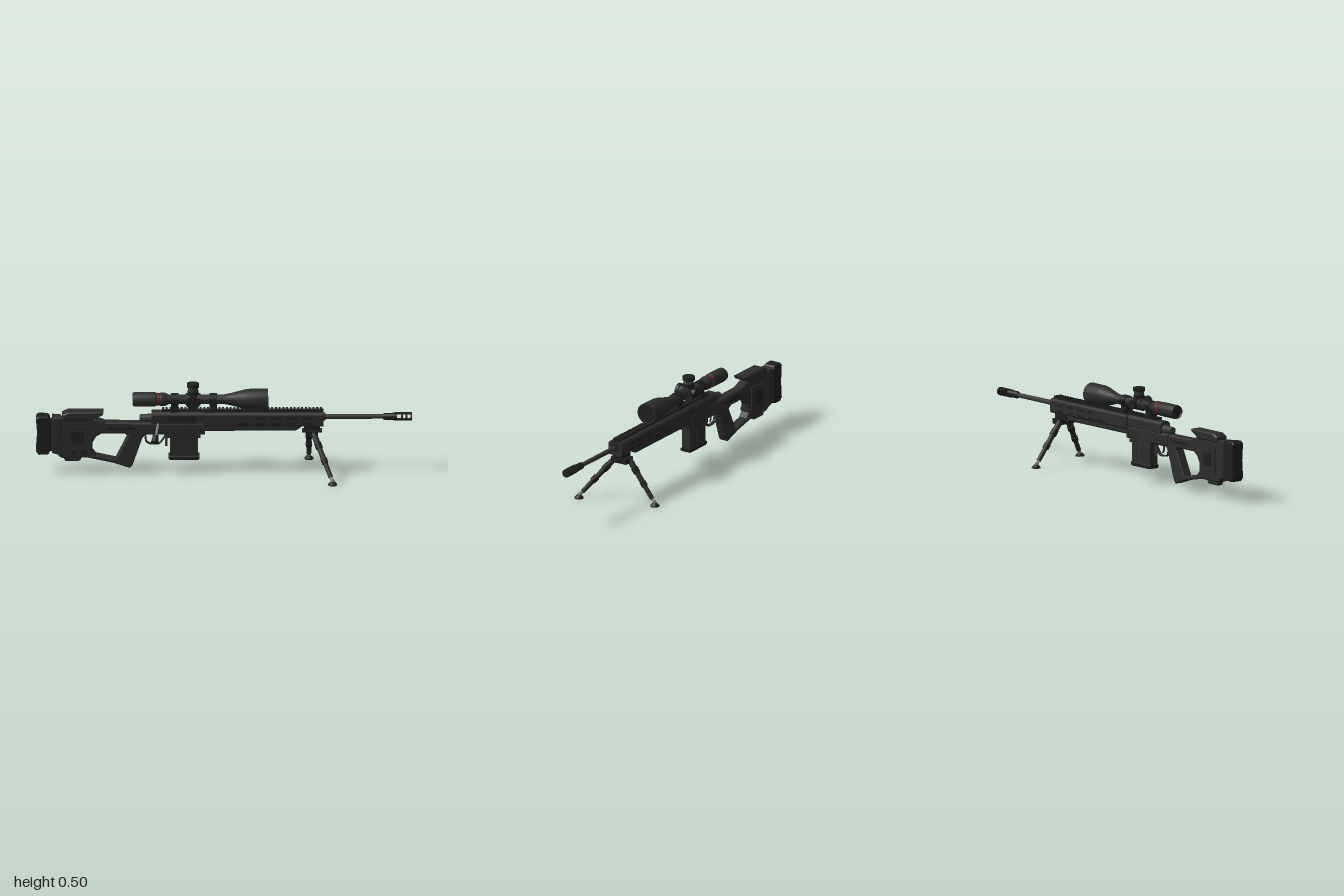
import * as THREE from 'three';
import { toCreasedNormals } from 'three/addons/utils/BufferGeometryUtils.js';

const mat = (name, color) => {
  const m = new THREE.MeshStandardMaterial({ color });
  m.name = name;
  return m;
};

export function createModel() {
  const root = new THREE.Group();
  root.name = 'scopedRifle';
  const body = mat('charcoal', 0x2d2d2d);
  const dark = mat('black', 0x1f1f1f);
  const steel = mat('gunmetal', 0x383838);
  const silver = mat('silver', 0x85857f);
  const red = mat('red', 0xb01515);

  const add = (name, geo, m, parent = root) => {
    const mesh = new THREE.Mesh(geo, m);
    mesh.name = name;
    parent.add(mesh);
    return mesh;
  };
  // Box given by its limits
  const box = (name, m, x0, x1, y0, y1, z0, z1, parent) => {
    const g = new THREE.BoxGeometry(x1 - x0, y1 - y0, z1 - z0);
    g.translate((x0 + x1) / 2, (y0 + y1) / 2, (z0 + z1) / 2);
    return add(name, g, m, parent);
  };
  // Rod between two points
  const rod = (name, m, a, b, r0, r1 = r0, seg = 20, parent = root) => {
    const A = new THREE.Vector3(...a), B = new THREE.Vector3(...b);
    const d = B.clone().sub(A);
    const mesh = add(name, new THREE.CylinderGeometry(r1, r0, d.length(), seg), m, parent);
    mesh.position.copy(A).add(B).multiplyScalar(0.5);
    mesh.quaternion.setFromUnitVectors(new THREE.Vector3(0, 1, 0), d.normalize());
    return mesh;
  };
  const rodX = (name, m, x0, x1, y, r0, r1 = r0, parent = root) => rod(name, m, [x0, y, 0], [x1, y, 0], r0, r1, 32, parent);
  // Lathe about the x axis; points are [x, radius]
  const latheX = (name, m, y, pts, parent) => {
    const g = new THREE.LatheGeometry(pts.map(([x, r]) => new THREE.Vector2(r, x)), 40);
    g.rotateZ(-Math.PI / 2);
    g.translate(0, y, 0);
    return add(name, toCreasedNormals(g, 0.5), m, parent);
  };
  const vecs = (pts) => pts.map(([x, y]) => new THREE.Vector2(x, y));
  // Side profile extruded across z, with chamfered edges
  const profile = (name, m, pts, half, holes = [], bevel = 0.006) => {
    const s = new THREE.Shape(vecs(pts));
    holes.forEach((h) => s.holes.push(new THREE.Path(vecs(h))));
    const g = new THREE.ExtrudeGeometry(s, {
      depth: 2 * (half - bevel), bevelEnabled: bevel > 0, bevelSize: bevel, bevelThickness: bevel,
      bevelOffset: -bevel, bevelSegments: 1,
    });
    g.translate(0, 0, -half + bevel);
    return add(name, g, m);
  };
  // Chamfered cross-section extruded along x
  const beam = (name, m, x0, x1, y0, y1, half, c) => {
    const s = new THREE.Shape(vecs([
      [-half + c, y0], [half - c, y0], [half, y0 + c], [half, y1 - c],
      [half - c, y1], [-half + c, y1], [-half, y1 - c], [-half, y0 + c],
    ]));
    const g = new THREE.ExtrudeGeometry(s, { depth: x1 - x0, bevelEnabled: false });
    g.rotateY(Math.PI / 2);
    g.translate(x0, 0, 0);
    return add(name, g, m);
  };

  // Thumbhole stock with grip
  profile('stock', body, [
    [-0.88, 0.1], [-0.86, 0.09], [-0.72, 0.09], [-0.59, 0.062], [-0.5, 0.032], [-0.487, 0.045], [-0.435, 0.2],
    [-0.42, 0.22], [-0.3, 0.22], [-0.3, 0.285], [-0.63, 0.29], [-0.68, 0.31], [-0.88, 0.31],
  ], 0.028, [[
    [-0.65, 0.228], [-0.53, 0.228], [-0.51, 0.215], [-0.575, 0.082], [-0.68, 0.105],
    [-0.7, 0.13], [-0.7, 0.175], [-0.68, 0.21],
  ]]);
  profile('cheekRest', body, [[-0.86, 0.305], [-0.7, 0.305], [-0.645, 0.335], [-0.64, 0.35], [-0.83, 0.35], [-0.86, 0.335]], 0.036);
  profile('stockToePad', body, [[-0.855, 0.095], [-0.845, 0.07], [-0.765, 0.07], [-0.755, 0.095]], 0.02);
  for (const s of [-1, 1]) {
    box('stockSidePanel', body, -0.84, -0.715, 0.13, 0.27, s * 0.029 - 0.005, s * 0.029 + 0.005);
    box('panelInset', dark, -0.81, -0.745, 0.17, 0.24, s * 0.035 - 0.002, s * 0.035 + 0.002);
    box('upperStockGroove', dark, -0.62, -0.47, 0.25, 0.265, s * 0.028 - 0.001, s * 0.028 + 0.001);
  }
  for (const x of [-0.8, -0.745]) rod('stockKnob', dark, [x, 0.128, 0.02], [x, 0.128, 0.052], 0.014);

  // Butt pad and spacers
  profile('buttPad', dark, [
    [-1, 0.13], [-0.985, 0.11], [-0.935, 0.112], [-0.925, 0.13], [-0.925, 0.31], [-0.935, 0.325], [-0.985, 0.328], [-1, 0.315], [-0.993, 0.22],
  ], 0.036);
  box('buttNeck', dark, -0.93, -0.87, 0.13, 0.3, -0.024, 0.024);
  profile('buttSpacer', body, [[-0.915, 0.12], [-0.865, 0.105], [-0.865, 0.318], [-0.915, 0.322]], 0.034);

  // Receiver
  beam('receiverLower', body, -0.44, -0.1, 0.222, 0.29, 0.033, 0.008);
  beam('receiverUpper', body, -0.385, -0.1, 0.275, 0.348, 0.034, 0.014);
  rodX('boltShroud', steel, -0.45, -0.38, 0.308, 0.018, 0.024);
  box('ejectionPort', dark, -0.3, -0.15, 0.298, 0.328, 0.033, 0.0355);
  for (const x of [-0.35, -0.18, -0.12]) rod('receiverPin', dark, [x, 0.25, -0.035], [x, 0.25, 0.035], 0.007);

  // Bolt handle
  rod('boltHandle', silver, [-0.35, 0.285, 0.025], [-0.362, 0.225, 0.066], 0.0075, 0.006);
  rod('boltKnob', dark, [-0.361, 0.232, 0.06], [-0.369, 0.2, 0.086], 0.014, 0.02);

  // Trigger and guard
  const guard = new THREE.CatmullRomCurve3([
    [-0.42, 0.225], [-0.412, 0.175], [-0.395, 0.165], [-0.345, 0.165], [-0.33, 0.18], [-0.305, 0.222],
  ].map(([x, y]) => new THREE.Vector3(x, y, 0)));
  const guardGeo = new THREE.TubeGeometry(guard, 24, 0.005, 8);
  guardGeo.scale(1, 1, 2.4);
  add('triggerGuard', guardGeo, body);
  const trigger = new THREE.QuadraticBezierCurve3(
    new THREE.Vector3(-0.365, 0.225, 0), new THREE.Vector3(-0.385, 0.2, 0), new THREE.Vector3(-0.365, 0.178, 0));
  add('trigger', new THREE.TubeGeometry(trigger, 10, 0.005, 8), steel);
  rod('magazineRelease', steel, [-0.305, 0.22, 0], [-0.308, 0.15, 0], 0.007);

  // Magazine
  box('magazine', body, -0.288, -0.138, 0.095, 0.235, -0.026, 0.026);
  profile('magazineBase', dark, [[-0.296, 0.085], [-0.286, 0.079], [-0.14, 0.079], [-0.13, 0.085], [-0.13, 0.1], [-0.296, 0.1]], 0.03, [], 0.003);
  for (const x of [-0.27, -0.225, -0.18])
    for (const s of [-1, 1]) box('magazineRib', body, x, x + 0.024, 0.11, 0.2, s * 0.027 - 0.002, s * 0.027 + 0.002);
  box('magazineWell', body, -0.3, -0.125, 0.205, 0.235, -0.032, 0.032);

  // Handguard
  beam('handguard', body, -0.11, 0.53, 0.27, 0.346, 0.043, 0.009);
  profile('handguardKeel', body, [[-0.12, 0.245], [0.38, 0.245], [0.41, 0.265], [0.41, 0.29], [-0.12, 0.29]], 0.036);
  for (let i = 0; i < 5; i++)
    for (const s of [-1, 1]) {
      const x = 0.08 + i * 0.085;
      box('lowerVentSlot', dark, x, x + 0.05, 0.281, 0.293, s * 0.043 - 0.001, s * 0.043 + 0.001);
      if (i > 0) box('upperVentSlot', dark, x, x + 0.05, 0.314, 0.326, s * 0.043 - 0.001, s * 0.043 + 0.001);
    }

  // Toothed top rail
  box('railBase', dark, -0.33, 0.53, 0.344, 0.352, -0.019, 0.019);
  for (let i = 0; i < 43; i++) box('railTooth', dark, -0.33 + i * 0.02, -0.319 + i * 0.02, 0.351, 0.361, -0.022, 0.022);

  // Barrel and muzzle brake
  const by = 0.314;
  rodX('barrelCollar', dark, 0.525, 0.54, by, 0.022);
  rodX('barrel', steel, 0.53, 0.86, by, 0.0135, 0.012);
  latheX('muzzleCollar', dark, by, [[0.845, 0.001], [0.845, 0.015], [0.855, 0.019], [0.895, 0.019], [0.905, 0.022], [0.92, 0.022], [0.92, 0.001]]);
  for (const x of [0.942, 0.966, 0.991]) rodX('brakeBaffle', dark, x, x + 0.009, by, 0.022);
  for (const s of [-1, 1]) box('brakeBridge', dark, 0.91, 0.998, by + s * 0.017 - 0.003, by + s * 0.017 + 0.003, -0.011, 0.011);
  rodX('muzzleBore', steel, 0.9985, 1, by, 0.008);

  // Scope
  const scope = new THREE.Group();
  scope.name = 'scope';
  root.add(scope);
  const sy = 0.413;
  latheX('scopeTube', body, sy, [
    [-0.478, 0.0005], [-0.478, 0.03], [-0.485, 0.032], [-0.485, 0.036], [-0.475, 0.038], [-0.365, 0.038], [-0.36, 0.034], [-0.34, 0.034],
    [-0.335, 0.037], [-0.315, 0.036], [-0.295, 0.026], [0.0, 0.026], [0.03, 0.031], [0.11, 0.052],
    [0.14, 0.056], [0.235, 0.057], [0.235, 0.051], [0.228, 0.05], [0.228, 0.0005],
  ], scope);
  rodX('objectiveLens', dark, 0.227, 0.2295, sy, 0.049, 0.049, scope);
  rodX('eyepieceLens', dark, -0.48, -0.477, sy, 0.029, 0.029, scope);
  rodX('redRing', red, -0.353, -0.347, sy, 0.0352, 0.0352, scope);
  rodX('turretHousing', body, -0.205, -0.125, sy, 0.033, 0.033, scope);
  const tx = -0.165;
  rod('elevationNeck', steel, [tx, sy, 0], [tx, 0.485, 0], 0.026, 0.026, 28, scope);
  rod('elevationBase', dark, [tx, sy, 0], [tx, 0.462, 0], 0.03, 0.03, 28, scope);
  rod('elevationCap', dark, [tx, 0.483, 0], [tx, 0.502, 0], 0.033, 0.033, 28, scope);
  for (let i = 0; i < 5; i++) {
    const a = -0.9 + i * 0.45, r = 0.026;
    const tick = box('turretTick', silver, -0.001, 0.001, 0.466, i % 2 ? 0.474 : 0.479, -0.0005, 0.0005, scope);
    tick.position.set(tx + Math.cos(a) * r, 0, Math.sin(a) * r);
    tick.rotation.y = -a + Math.PI / 2;
  }
  rod('parallaxNeck', body, [tx, sy, 0], [tx, sy, 0.05], 0.029, 0.029, 28, scope);
  rod('parallaxDial', dark, [tx, sy, 0.046], [tx, sy, 0.066], 0.036, 0.036, 28, scope);
  rod('windageDial', dark, [tx, sy, -0.02], [tx, sy, -0.052], 0.025, 0.025, 28, scope);

  // Scope rings
  for (const x of [-0.262, -0.057]) {
    rodX('scopeRing', dark, x - 0.02, x + 0.02, sy, 0.032, 0.032, scope);
    box('ringFoot', dark, x - 0.02, x + 0.02, 0.353, 0.395, -0.02, 0.02, scope);
    box('ringClamp', dark, x - 0.018, x + 0.018, 0.35, 0.368, -0.028, 0.03, scope);
    for (const s of [-1, 1]) box('ringLug', dark, x - 0.016, x + 0.016, sy - 0.009, sy + 0.009, s * 0.032 - 0.006, s * 0.032 + 0.006, scope);
  }

  // Bipod
  const bipod = new THREE.Group();
  bipod.name = 'bipod';
  root.add(bipod);
  box('bipodClamp', dark, 0.425, 0.51, 0.243, 0.275, -0.026, 0.026, bipod);
  box('bipodYoke', dark, 0.435, 0.5, 0.216, 0.245, -0.049, 0.049, bipod);
  rod('bipodPivot', dark, [0.415, 0.235, 0], [0.52, 0.235, 0], 0.012, 0.012, 20, bipod);
  for (const [x0, x1, s] of [[0.452, 0.452, -1], [0.475, 0.577, 1]]) {
    const top = new THREE.Vector3(x0, 0.235, s * 0.035);
    const foot = new THREE.Vector3(x1, 0.016, s * 0.201);
    const at = (t) => top.clone().lerp(foot, t).toArray();
    for (const [name, m, t0, t1, r] of [
      ['upperLeg', body, 0, 0.3, 0.016], ['upperCollar', dark, 0.2, 0.32, 0.019], ['middleLeg', body, 0.3, 0.6, 0.0145],
      ['lowerCollar', dark, 0.52, 0.62, 0.0175], ['lowerLeg', body, 0.6, 0.9, 0.0125], ['ankle', silver, 0.89, 1, 0.008],
    ]) rod(name, m, at(t0), at(t1), r, r, 16, bipod);
    const ball = add('ankleBall', new THREE.SphereGeometry(0.01, 16, 12), silver, bipod);
    ball.position.set(x1, 0.024, s * 0.197);
    const pad = new THREE.LatheGeometry(vecs([[0.0005, 0], [0.024, 0], [0.024, 0.006], [0.012, 0.018], [0.0005, 0.018]]), 24);
    add('footPad', toCreasedNormals(pad, 0.5), dark, bipod).position.set(x1, 0, s * 0.201);
  }
  return root;
}
